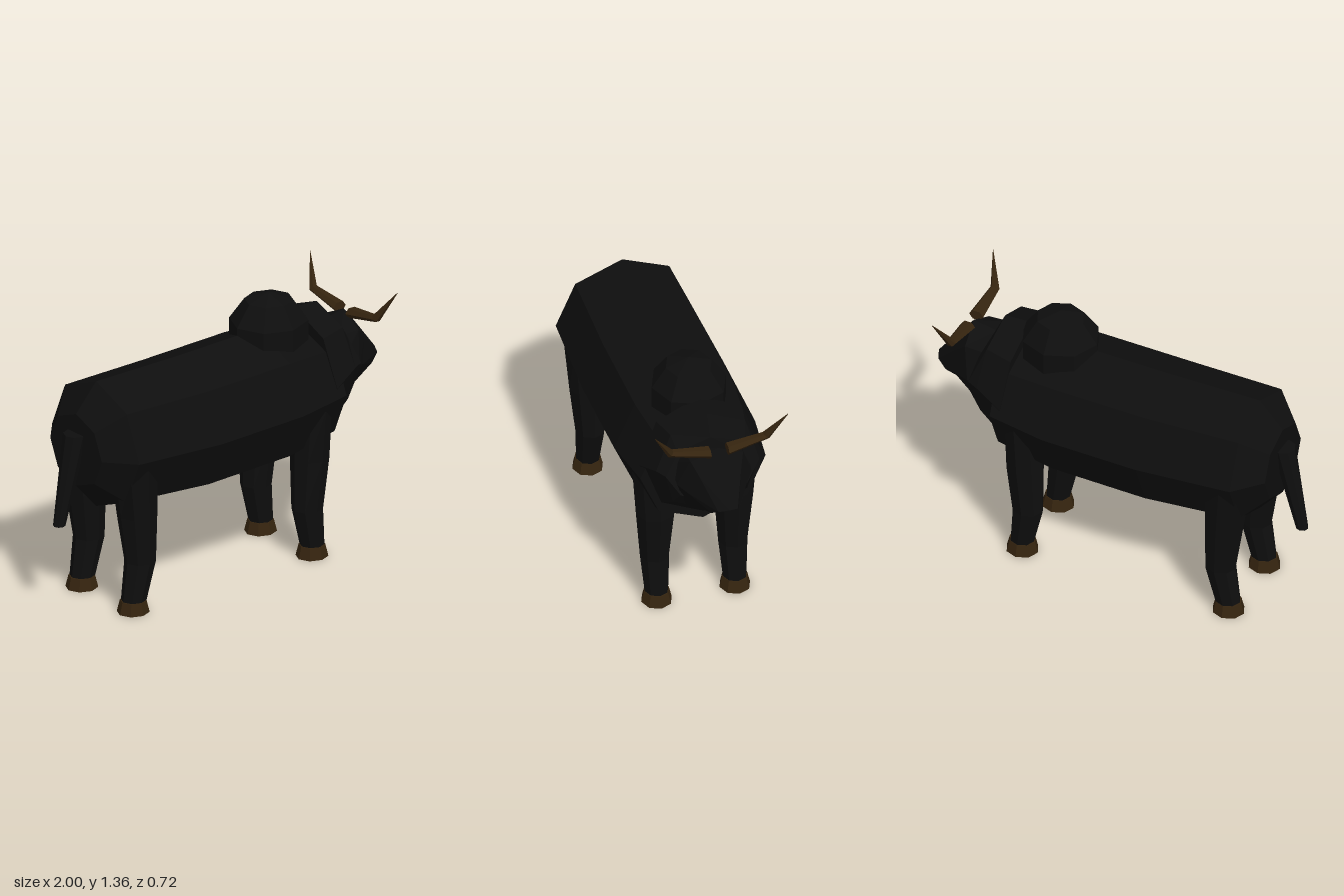
import * as THREE from 'three';

const SIDES = 8;

// Closed flat-shaded loft. Each ring is { c: centre, u: half axis, v: half axis }.
function loft(rings, sides = SIDES) {
  const V = (a) => new THREE.Vector3(...a);
  const pts = rings.map(({ c, u, v }) =>
    Array.from({ length: sides }, (_, i) => {
      const a = (i / sides) * Math.PI * 2;
      return V(c).addScaledVector(V(u), Math.cos(a)).addScaledVector(V(v), Math.sin(a));
    }));
  const tris = [];
  for (let r = 0; r < pts.length - 1; r++) {
    for (let i = 0; i < sides; i++) {
      const j = (i + 1) % sides;
      const [a, b, c, d] = [pts[r][i], pts[r][j], pts[r + 1][j], pts[r + 1][i]];
      tris.push([a, b, c], [a, c, d]);
    }
  }
  const first = V(rings[0].c), last = V(rings[rings.length - 1].c), end = pts[pts.length - 1];
  for (let i = 0; i < sides; i++) {
    const j = (i + 1) % sides;
    tris.push([first, pts[0][j], pts[0][i]], [last, end[i], end[j]]);
  }
  // Turn every face outward, judged by the signed volume
  const volume = tris.reduce((s, [a, b, c]) => s + a.dot(b.clone().cross(c)), 0);
  const points = tris.flatMap(([a, b, c]) => (volume < 0 ? [a, c, b] : [a, b, c]));
  const geometry = new THREE.BufferGeometry().setFromPoints(points);
  geometry.computeVertexNormals();
  return geometry;
}

// Ring standing across x, given by its top and bottom points and half width
function crossRing([tx, ty], [bx, by], halfWidth) {
  return {
    c: [(tx + bx) / 2, (ty + by) / 2, 0],
    u: [0, 0, halfWidth],
    v: [(tx - bx) / 2, (ty - by) / 2, 0],
  };
}

// Level ring for legs, hooves and tail
const levelRing = (x, y, z, rx, rz) => ({ c: [x, y, z], u: [rx, 0, 0], v: [0, 0, rz] });

export function createModel() {
  const hide = new THREE.MeshStandardMaterial({ color: 0x0e0e0e, flatShading: true });
  hide.name = 'black hide';
  const horn = new THREE.MeshStandardMaterial({ color: 0x35240f, flatShading: true });
  horn.name = 'brown horn';

  const model = new THREE.Group();
  model.name = 'humpedBull';
  const add = (name, geometry, material) => {
    const mesh = new THREE.Mesh(geometry, material);
    mesh.name = name;
    model.add(mesh);
    return mesh;
  };

  // Barrel body
  add('body', loft([
    crossRing([-0.865, 1.03], [-0.865, 0.65], 0.2),
    crossRing([-0.74, 1.17], [-0.74, 0.51], 0.34),
    crossRing([-0.24, 1.17], [-0.24, 0.475], 0.36),
    crossRing([0.27, 1.18], [0.27, 0.49], 0.36),
    crossRing([0.57, 1.16], [0.57, 0.545], 0.32),
  ]), hide);

  // Neck
  add('neck', loft([
    crossRing([0.5, 1.235], [0.54, 0.56], 0.31),
    crossRing([0.64, 1.23], [0.69, 0.685], 0.27),
    crossRing([0.69, 1.12], [0.76, 0.8], 0.24),
  ]), hide);

  // Head, sloping down to the muzzle
  add('head', loft([
    crossRing([0.68, 1.12], [0.62, 0.85], 0.2),
    crossRing([0.81, 1.145], [0.7, 0.7], 0.19),
    crossRing([0.87, 1.07], [0.75, 0.73], 0.15),
    crossRing([1.0, 0.9], [0.86, 0.8], 0.07),
  ]), hide);

  // Shoulder hump
  const hump = add('hump', new THREE.SphereGeometry(0.2, 8, 5), hide);
  hump.position.set(0.34, 1.15, 0);
  hump.scale.set(1.04, 1.05, 1);

  // Tail
  add('tail', loft([
    levelRing(-0.87, 0.93, 0, 0.06, 0.06),
    levelRing(-0.97, 0.468, 0, 0.031, 0.03),
  ]), hide);

  for (const [side, s] of [['left', -1], ['right', 1]]) {
    // Legs and hooves
    add(`${side}FrontLeg`, loft([
      levelRing(0.44, 0.8, s * 0.21, 0.09, 0.11),
      levelRing(0.435, 0.53, s * 0.2, 0.095, 0.1),
      levelRing(0.42, 0.26, s * 0.2, 0.08, 0.075),
      levelRing(0.45, 0.06, s * 0.2, 0.062, 0.06),
    ]), hide);
    add(`${side}RearLeg`, loft([
      levelRing(-0.67, 0.78, s * 0.21, 0.12, 0.11),
      levelRing(-0.645, 0.51, s * 0.2, 0.1, 0.1),
      levelRing(-0.625, 0.26, s * 0.2, 0.08, 0.075),
      levelRing(-0.665, 0.06, s * 0.2, 0.065, 0.06),
    ]), hide);
    for (const [name, x] of [['Front', 0.45], ['Rear', -0.668]]) {
      add(`${side}${name}Hoof`, loft([
        levelRing(x, 0.062, s * 0.2, 0.067, 0.063),
        levelRing(x, 0, s * 0.2, 0.083, 0.078),
      ]), horn);
    }

    // Horn: out sideways, then up to a point
    add(`${side}Horn`, loft([
      { c: [0.82, 1.137, s * 0.045], u: [0.038, 0, 0], v: [0, 0.028, 0] },
      { c: [0.815, 1.172, s * 0.245], u: [0.024, 0, 0], v: [0, 0.015, s * -0.015] },
      { c: [0.872, 1.322, s * 0.34], u: [0.001, 0, 0], v: [0, 0.001, s * -0.001] },
    ], 6), horn);
  }
  return model;
}
